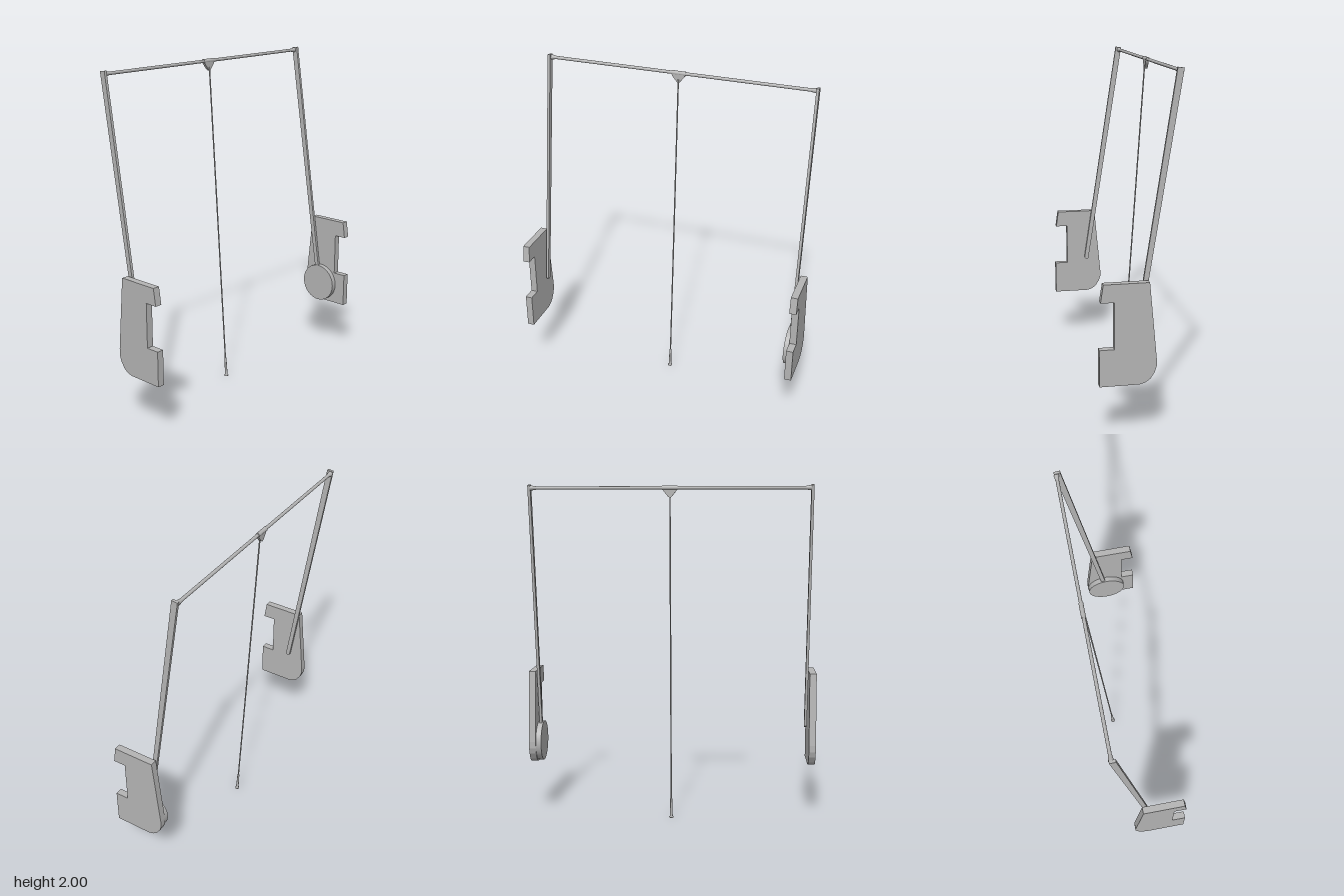
import * as THREE from 'three';

export function createModel() {
  const model = new THREE.Group();
  const grey = new THREE.MeshStandardMaterial({ color: 0xb4b4b4 });
  grey.name = 'satin grey';

  const add = (name, geometry) => {
    const mesh = new THREE.Mesh(geometry, grey);
    mesh.name = name;
    model.add(mesh);
    return mesh;
  };

  // Side profile given as [z, y] points, extruded from x0 to x1
  const sidePlate = (name, points, x0, x1) => {
    const shape = new THREE.Shape(points.map(([z, y]) => new THREE.Vector2(z, y)));
    const geo = new THREE.ExtrudeGeometry(shape, { depth: x1 - x0, bevelEnabled: false });
    geo.rotateY(-Math.PI / 2);
    geo.translate(x1, 0, 0);
    return add(name, geo);
  };

  // Cylinder running along x
  const barX = (name, r0, r1, x0, x1, y, z, sides = 20) => {
    const geo = new THREE.CylinderGeometry(r1, r0, x1 - x0, sides);
    geo.rotateZ(-Math.PI / 2);
    geo.translate((x0 + x1) / 2, y, z);
    return add(name, geo);
  };

  const housing = [
    [0.207, 0.89], [0.222, 0.79], [0.148, 0.79], [0.148, 0.53], [0.228, 0.53],
    [0.228, 0.323], [0.01, 0.323], [-0.02, 0.331], [-0.048, 0.35], [-0.073, 0.388],
    [-0.083, 0.42], [-0.083, 0.46], [-0.042, 0.89],
  ];
  const arm = [
    [-0.187, 2], [-0.222, 1.995], [0.005, 0.562], [0.012, 0.556],
    [0.024, 0.557], [0.031, 0.565],
  ];
  const railY = 1.98, railZ = -0.209;

  // Wall housings, swinging arms and rail sockets on both sides
  for (const [side, s] of [['left', 1], ['right', -1]]) {
    const span = (a, b) => (s > 0 ? [a, b] : [-b, -a]);
    sidePlate(side + 'Housing', housing, ...span(0.825, 0.866));
    sidePlate(side + 'Arm', arm, ...span(0.8, 0.816));
    const radii = s > 0 ? [0.01, 0.015] : [0.015, 0.01];
    barX(side + 'RailSocket', ...radii, ...span(0.768, 0.802), railY, railZ);
  }

  // Spring drum on the left housing only
  barX('springDrum', 0.12, 0.12, 0.793, 0.826, 0.447, 0.039, 48);

  // Hanging rail with centre sleeve
  barX('rail', 0.0095, 0.0095, -0.8, 0.8, railY, railZ);
  barX('centreSleeve', 0.0125, 0.0125, -0.043, 0.043, railY, railZ);

  // Tapered bracket under the sleeve
  const wedge = new THREE.Shape([
    [-0.041, 1.976], [-0.036, 1.962], [-0.01, 1.93], [0, 1.923],
    [0.01, 1.93], [0.036, 1.962], [0.041, 1.976],
  ].map(([x, y]) => new THREE.Vector2(x, y)));
  const wedgeGeo = new THREE.ExtrudeGeometry(wedge, { depth: 0.018, bevelEnabled: false });
  wedgeGeo.translate(0, 0, railZ - 0.007);
  add('pullBracket', wedgeGeo);

  // Pull rod, grip and foot knob turned as one leaning profile
  const foot = new THREE.Vector3(0, 0.001, -0.07);
  const top = new THREE.Vector3(0, 1.945, -0.2);
  const length = foot.distanceTo(top);
  const profile = [
    [0, 0], [0.013, 0], [0.013, 0.004], [0.009, 0.009], [0.008, 0.03], [0.0065, 0.12],
    [0.004, 0.125], [0.004, length], [0, length],
  ].map(([r, y]) => new THREE.Vector2(r, y));
  const rod = add('pullRod', new THREE.LatheGeometry(profile, 16));
  rod.position.copy(foot);
  rod.quaternion.setFromUnitVectors(new THREE.Vector3(0, 1, 0), top.clone().sub(foot).normalize());

  return model;
}
